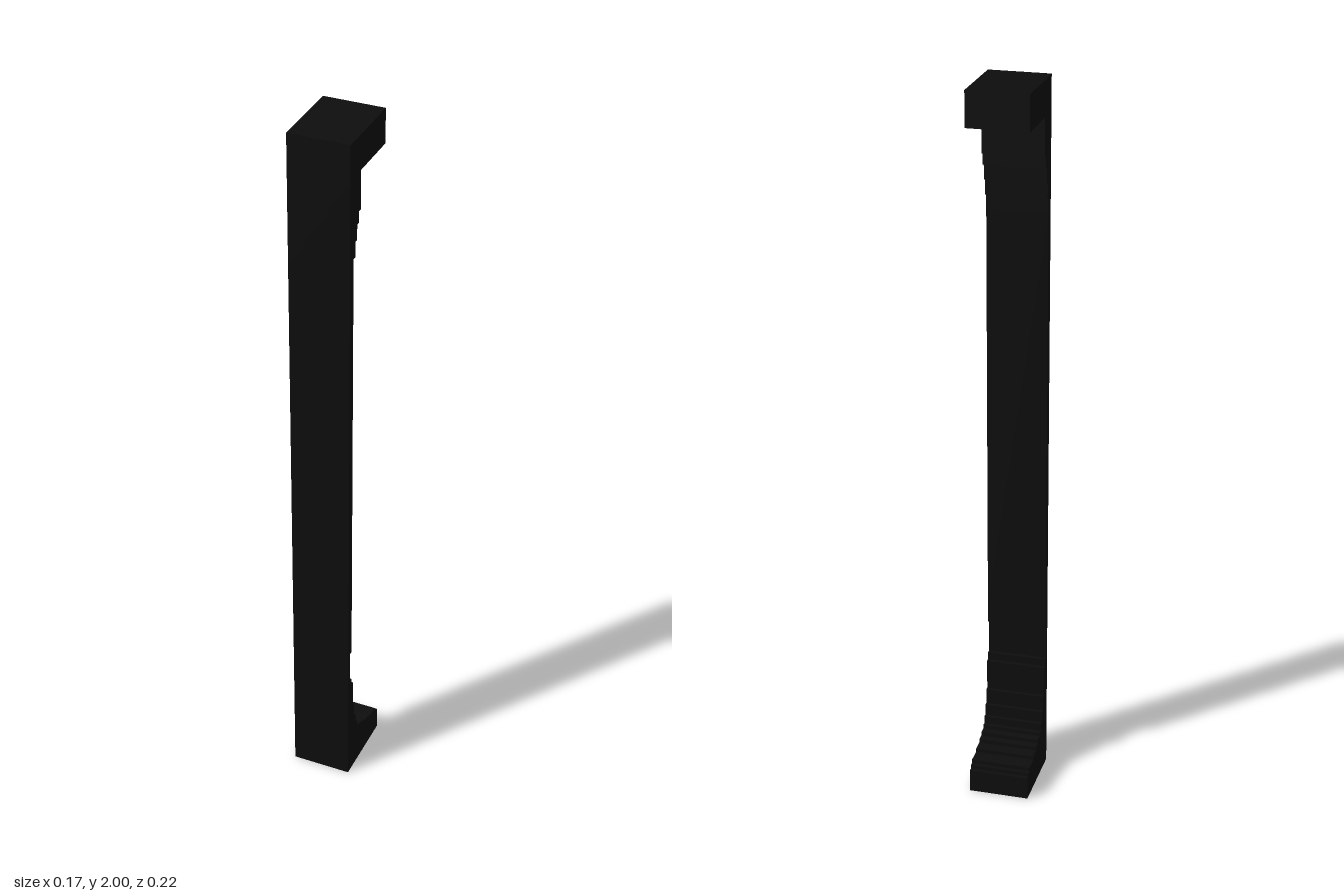
import * as THREE from 'three';

const WIDTH = 0.166, FRONT = 0.108, STEP = 0.0108;

// Depth of the rear face at height y, interpolated from [y, z] points
function rearAt(points, y) {
  for (let i = 1; i < points.length; i++) {
    const [y0, z0] = points[i - 1], [y1, z1] = points[i];
    if (y <= y1) return z0 + (z1 - z0) * (y - y0) / (y1 - y0);
  }
  return points[points.length - 1][1];
}

// Solid with a flat front and a finely stepped rear, extruded across x
function steppedSection(name, points, material) {
  const bottom = points[0][0], top = points[points.length - 1][0];
  const rows = Math.round((top - bottom) / STEP);
  const shape = new THREE.Shape();
  shape.moveTo(FRONT, top);
  shape.lineTo(FRONT, bottom);
  let last = null;
  for (let i = 0; i < rows; i++) {
    const y = bottom + (top - bottom) * i / rows;
    const mid = y + (top - bottom) / rows / 2;
    const z = FRONT - Math.max(1, Math.round((FRONT - rearAt(points, mid)) / STEP)) * STEP;
    if (last === null) shape.lineTo(z, bottom);
    else if (Math.abs(z - last) > 1e-6) {
      shape.lineTo(last, y);
      shape.lineTo(z, y);
    }
    last = z;
  }
  shape.lineTo(last, top);
  const geometry = new THREE.ExtrudeGeometry(shape, { depth: WIDTH, bevelEnabled: false });
  geometry.translate(0, 0, -WIDTH / 2).rotateY(-Math.PI / 2);
  const mesh = new THREE.Mesh(geometry, material);
  mesh.name = name;
  return mesh;
}

export function createModel() {
  const group = new THREE.Group();
  group.name = 'bracketPost';
  const black = new THREE.MeshStandardMaterial({ color: 0x0d0d0d });
  black.name = 'black';

  // Foot sweeping up into the shaft, with a shallow hollow at the ankle
  group.add(steppedSection('foot', [
    [0, -0.108], [0.06, -0.108], [0.075, -0.1], [0.085, -0.08], [0.095, -0.03],
    [0.107, 0.005], [0.125, 0.032], [0.15, 0.05], [0.2, 0.066], [0.25, 0.075],
    [0.32, 0.082], [0.35, 0.097], [0.41, 0.098], [0.46, 0.087], [0.5, 0.086],
  ], black));

  // Thin straight shaft
  group.add(steppedSection('shaft', [[0.5, 0.086], [1.64, 0.086]], black));

  // Thickened support below the cap
  group.add(steppedSection('upperSupport', [
    [1.64, 0.086], [1.67, 0.083], [1.72, 0.071], [1.77, 0.058],
    [1.81, 0.046], [1.905, 0.043],
  ], black));

  // Overhanging cap
  const cap = new THREE.Mesh(new THREE.BoxGeometry(WIDTH, 0.095, FRONT * 2), black);
  cap.name = 'cap';
  cap.position.y = 1.9525;
  group.add(cap);

  return group;
}
